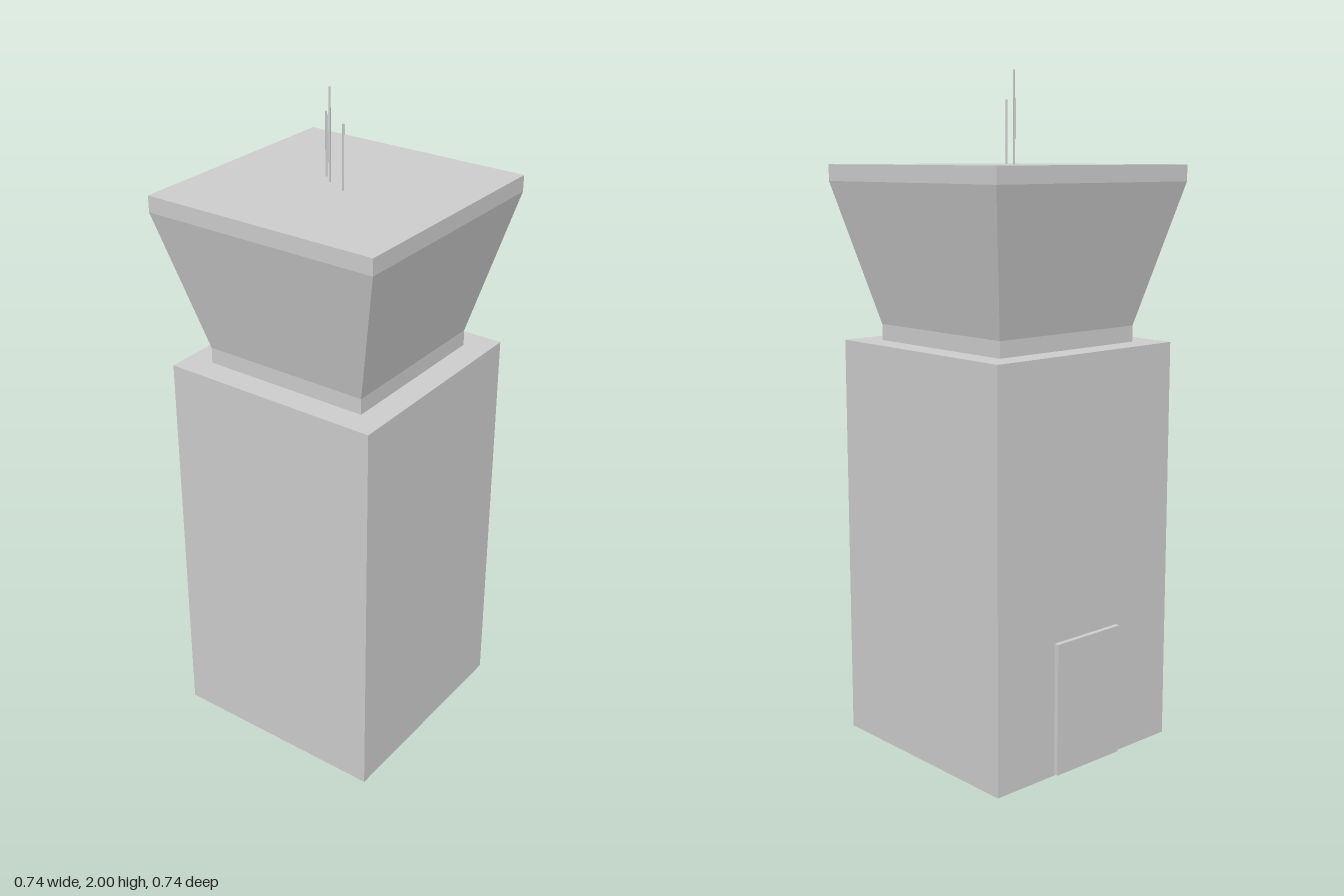
import * as THREE from 'three';

const material = new THREE.MeshStandardMaterial({ color: 0xcccccc });

function part(name, geometry, x = 0, y = 0, z = 0) {
  const mesh = new THREE.Mesh(geometry, material);
  mesh.name = name;
  mesh.position.set(x, y, z);
  return mesh;
}

// Square solid from [half width, height] rings, listed bottom to top
function squareLoft(rings) {
  const points = rings.map(([half, y]) => new THREE.Vector2(half * Math.SQRT2, y));
  const geometry = new THREE.LatheGeometry(points, 4, Math.PI / 4).toNonIndexed();
  geometry.computeVertexNormals();
  return geometry;
}

export function createModel() {
  const tower = new THREE.Group();
  tower.name = 'controlTower';

  // Square shaft
  const shaftHeight = 1.22, shaftWidth = 0.682;
  tower.add(part('shaft', new THREE.BoxGeometry(shaftWidth, shaftHeight, shaftWidth), 0, shaftHeight / 2, 0));

  // Cab: upright neck, outward-leaning window walls, upright roof edge
  const roofY = 1.735;
  tower.add(part('cab', squareLoft([
    [0, shaftHeight], [0.262, shaftHeight], [0.262, 1.268],
    [0.368, 1.687], [0.368, roofY], [0, roofY],
  ])));

  // Door slab on the back wall
  tower.add(part('door', new THREE.BoxGeometry(0.25, 0.395, 0.03), 0, 0.2025, -0.341));

  // Roof antennas: x, z, top height
  const antennas = new THREE.Group();
  antennas.name = 'antennas';
  for (const [x, z, top] of [[0.006, -0.037, 2], [0.036, -0.071, 1.92], [-0.029, 0.033, 1.92]]) {
    const height = top - roofY;
    antennas.add(part('antenna', new THREE.CylinderGeometry(0.003, 0.003, height, 8), x, roofY + height / 2, z));
  }
  tower.add(antennas);

  return tower;
}
